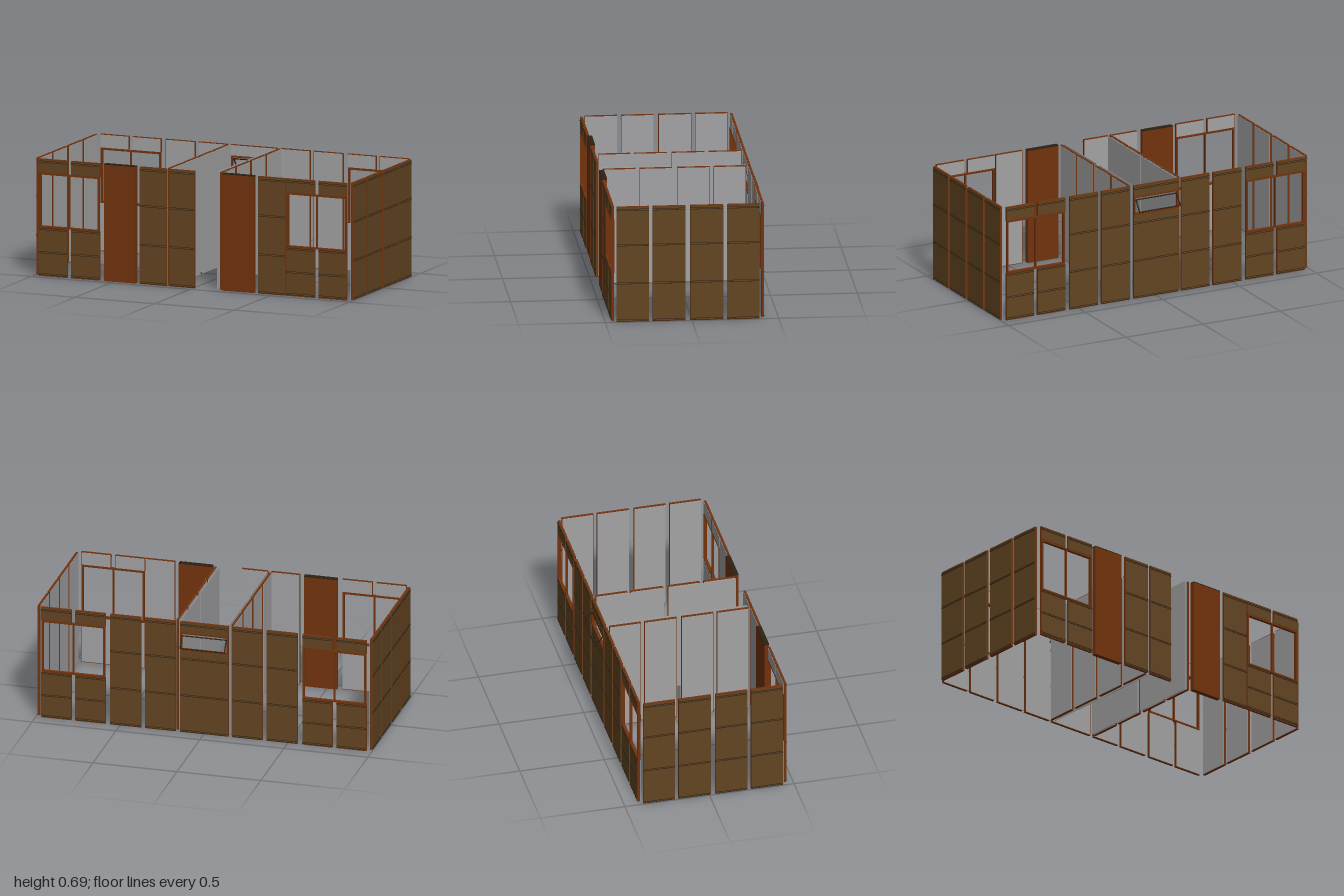
import * as THREE from 'three';

const mat = (name, color) => {
  const m = new THREE.MeshStandardMaterial({ color });
  m.name = name;
  return m;
};

export function createModel() {
  const brown = mat('brown cladding', 0x644522);
  const rust = mat('rust timber', 0x73330d);
  const grey = mat('grey lining', 0xa3a3a5);
  const dark = mat('dark trim', 0x2c2012);
  const H = 0.685;
  const model = new THREE.Group();
  model.name = 'panelHouse';

  // Box given by its limits on each axis
  function box(parent, name, m, x0, x1, y0, y1, z0, z1) {
    const mesh = new THREE.Mesh(new THREE.BoxGeometry(x1 - x0, y1 - y0, z1 - z0), m);
    mesh.position.set((x0 + x1) / 2, (y0 + y1) / 2, (z0 + z1) / 2);
    mesh.name = name;
    parent.add(mesh);
    return mesh;
  }

  // Wall whose local +z points outdoors
  function wall(name, x, z, angle) {
    const g = new THREE.Group();
    g.name = name;
    g.position.set(x, 0, z);
    g.rotation.y = angle;
    model.add(g);
    return g;
  }

  // Timber frame, clad outside, lined inside, with double trims at the course joints
  function panel(w, x0, x1, y0 = 0, y1 = H, joints = [0.009, 0.23, 0.457, 0.667]) {
    const g = new THREE.Group();
    g.name = 'wallPanel';
    w.add(g);
    box(g, 'frame', rust, x0, x1, y0, y1, -0.0065, 0.0065);
    box(g, 'cladding', brown, x0, x1, y0 + 0.004, y1 - 0.004, 0.0065, 0.0085);
    box(g, 'lining', grey, x0 + 0.002, x1 - 0.002, y0 + 0.004, y1 - 0.004, -0.0085, -0.0065);
    for (const y of joints) {
      box(g, 'courseTrim', dark, x0, x1, y + 0.003, y + 0.0055, 0.0085, 0.0105);
      box(g, 'courseTrim', dark, x0, x1, y - 0.0055, y - 0.003, 0.0085, 0.0115);
    }
  }

  // Rectangular frame of four bars
  function frame(parent, name, m, x0, x1, y0, y1, t, d) {
    const g = new THREE.Group();
    g.name = name;
    parent.add(g);
    box(g, 'bottomRail', m, x0, x1, y0, y0 + t, -d, d);
    box(g, 'topRail', m, x0, x1, y1 - t, y1, -d, d);
    box(g, 'jamb', m, x0, x0 + t, y0 + t, y1 - t, -d, d);
    box(g, 'jamb', m, x1 - t, x1, y0 + t, y1 - t, -d, d);
    return g;
  }

  // Two narrow bays with an open double window across them
  function windowBay(w, x0, x1) {
    const mid = (x0 + x1) / 2;
    for (const [a, b] of [[x0, mid - 0.012], [mid + 0.012, x1]]) {
      panel(w, a, b, 0, 0.285, [0.012, 0.14, 0.276]);
      panel(w, a, b, 0.602, H, [0.669]);
    }
    const f = frame(w, 'windowFrame', rust, x0 + 0.003, x1 - 0.003, 0.285, 0.602, 0.009, 0.009);
    box(f, 'mullion', rust, mid - 0.004, mid + 0.004, 0.294, 0.593, -0.007, 0.007);
  }

  function door(w, x0, x1) {
    box(w, 'door', rust, x0, x1, 0, H - 0.005, -0.022, 0.007);
    box(w, 'doorHead', dark, x0, x1, H - 0.005, H, -0.022, 0.007);
  }

  // Front wall
  const front = wall('frontWall', 0, 0.4535, 0);
  windowBay(front, -0.97, -0.588);
  windowBay(front, 0.588, 0.967);
  for (const [a, b] of [[-0.334, -0.165], [-0.146, 0.01], [0.41, 0.582]]) panel(front, a, b);
  door(front, -0.56, -0.363);
  door(front, 0.183, 0.382);

  // Back wall, turned round, so local x is mirrored
  const back = wall('backWall', 0, -0.4095, Math.PI);
  for (const s of [-1, 1]) {
    const put = (fn, a, b) => fn(back, Math.min(s * a, s * b), Math.max(s * a, s * b));
    put(windowBay, 0.587, 0.968);
    put(panel, 0.374, 0.557);
    put(panel, 0.168, 0.35);
  }
  panel(back, -0.14, 0.146, 0, 0.51, [0.009, 0.23, 0.457]);
  panel(back, -0.14, 0.146, 0.617, H, [0.667]);
  frame(back, 'ventFrame', rust, -0.14, 0.146, 0.508, 0.619, 0.009, 0.009);

  // Open vent sash, hinged at its top edge
  const sash = frame(back, 'ventSash', dark, -0.132, 0.138, -0.082, 0, 0.006, 0.0025);
  sash.position.set(0, 0.602, 0.008);
  sash.rotation.x = -0.63;

  // End walls and partitions share the same four bays along z
  const bays = [[-0.389, -0.203], [-0.181, 0.009], [0.037, 0.225], [0.2475, 0.434]];
  for (const s of [-1, 1]) {
    const end = wall(s > 0 ? 'leftEndWall' : 'rightEndWall', s * 0.9885, 0, s * Math.PI / 2);
    for (const [a, b] of bays) {
      const x0 = s > 0 ? -b : a, x1 = s > 0 ? -a : b;
      panel(end, x0, x1);
    }
    const part = wall(s > 0 ? 'leftPartition' : 'rightPartition', s * 0.1635, 0, 0);
    for (const [a, b] of bays) {
      box(part, 'partitionFrame', rust, -0.0065, 0.0065, 0, H, a, b);
      for (const t of [-1, 1]) {
        box(part, 'partitionLining', grey, t * 0.0075 - 0.001, t * 0.0075 + 0.001, 0.004, H - 0.004, a + 0.002, b - 0.002);
      }
    }
    // Corridor sheets, each across two bays
    for (const [a, b] of [[-0.389, 0.009], [0.037, 0.434]]) {
      box(model, 'corridorSheet', grey, s * 0.142 - 0.0015, s * 0.142 + 0.0015, 0, H, a, b);
    }
  }
  return model;
}
